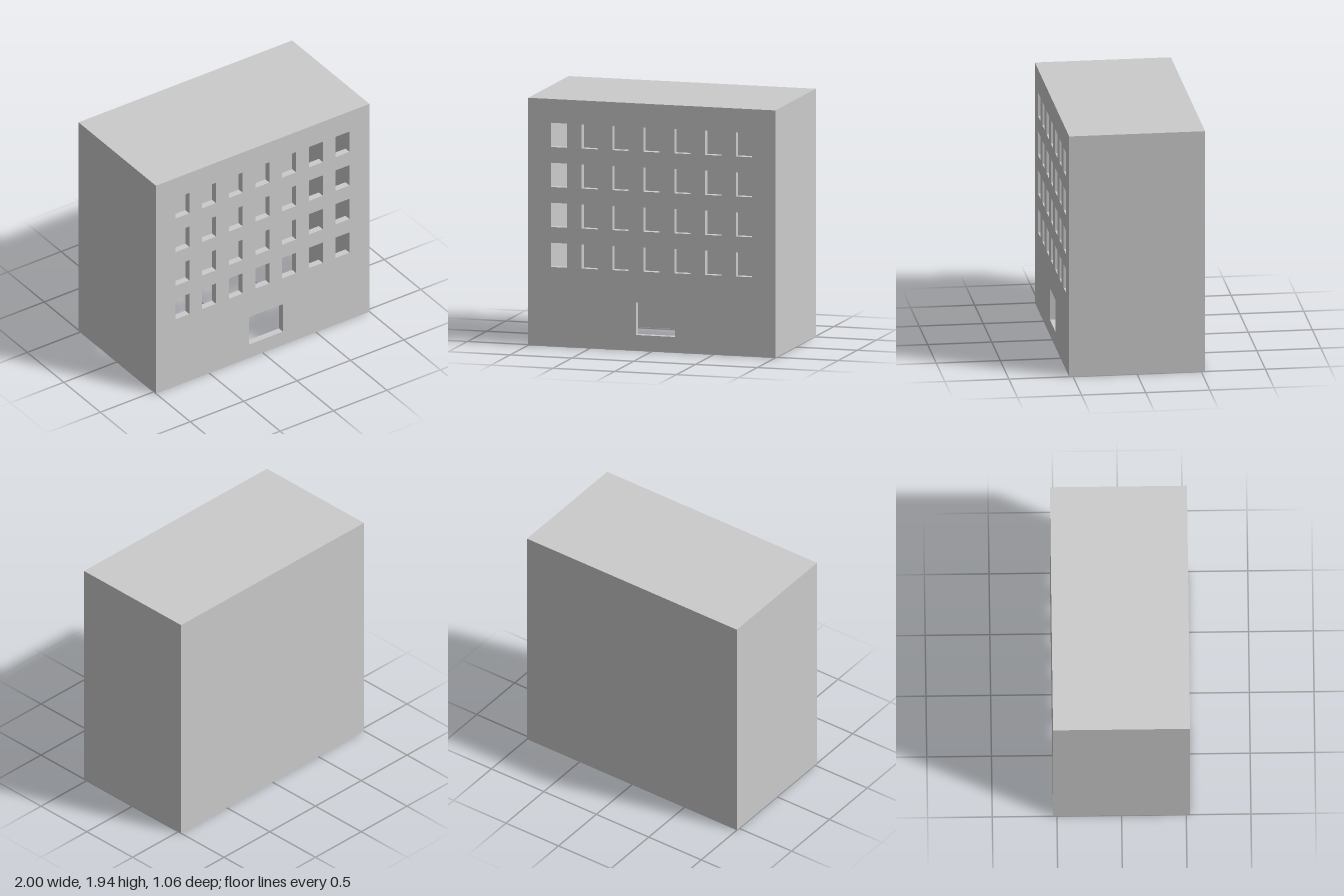
import * as THREE from 'three';
import { mergeGeometries } from 'three/addons/utils/BufferGeometryUtils.js';

const W = 2, H = 1.94, D = 1.06;   // overall block
const REVEAL = 0.055;              // depth of the opening linings

const material = new THREE.MeshStandardMaterial({ color: 0xcccccc, side: THREE.DoubleSide });

function addMesh(parent, name, geometry) {
  const mesh = new THREE.Mesh(geometry, material);
  mesh.name = name;
  parent.add(mesh);
  return mesh;
}

// Rectangular path used as a hole in the facade
function rectPath({ x, y, w, h }) {
  return new THREE.Path([
    new THREE.Vector2(x - w / 2, y - h / 2),
    new THREE.Vector2(x - w / 2, y + h / 2),
    new THREE.Vector2(x + w / 2, y + h / 2),
    new THREE.Vector2(x + w / 2, y - h / 2),
  ]);
}

// Four lining panels running inward from an opening, facing its centre
function liningGeometry({ w, h }) {
  const sill = new THREE.PlaneGeometry(w, REVEAL).rotateX(-Math.PI / 2).translate(0, -h / 2, 0);
  const head = new THREE.PlaneGeometry(w, REVEAL).rotateX(Math.PI / 2).translate(0, h / 2, 0);
  const jambA = new THREE.PlaneGeometry(REVEAL, h).rotateY(Math.PI / 2).translate(-w / 2, 0, 0);
  const jambB = new THREE.PlaneGeometry(REVEAL, h).rotateY(-Math.PI / 2).translate(w / 2, 0, 0);
  return mergeGeometries([sill, head, jambA, jambB]).translate(0, 0, -REVEAL / 2);
}

export function createModel() {
  const building = new THREE.Group();
  building.name = 'building';

  // Openings: four rows of seven windows and one wide entrance
  const windows = [];
  for (let row = 0; row < 4; row++) {
    for (let col = 0; col < 7; col++) {
      windows.push({ x: -0.752 + col * 0.25, y: 0.718 + row * 0.3135, w: 0.13, h: 0.19 });
    }
  }
  const entrance = { x: 0.03, y: 0.252, w: 0.318, h: 0.256 };

  // Facade sheet pierced by the openings
  const facade = new THREE.Shape([
    new THREE.Vector2(-W / 2, 0),
    new THREE.Vector2(W / 2, 0),
    new THREE.Vector2(W / 2, H),
    new THREE.Vector2(-W / 2, H),
  ]);
  facade.holes = [...windows, entrance].map(rectPath);
  addMesh(building, 'frontWall', new THREE.ShapeGeometry(facade)).position.z = D / 2;

  // Plain walls and roof; the underside stays open
  const backWall = addMesh(building, 'backWall', new THREE.PlaneGeometry(W, H));
  backWall.position.set(0, H / 2, -D / 2);
  backWall.rotation.y = Math.PI;
  for (const [name, side] of [['leftWall', 1], ['rightWall', -1]]) {
    const wall = addMesh(building, name, new THREE.PlaneGeometry(D, H));
    wall.position.set(side * W / 2, H / 2, 0);
    wall.rotation.y = side * Math.PI / 2;
  }
  const roof = addMesh(building, 'roof', new THREE.PlaneGeometry(W, D));
  roof.position.y = H;
  roof.rotation.x = -Math.PI / 2;

  // Linings of the openings
  const windowLinings = new THREE.Group();
  windowLinings.name = 'windowLinings';
  building.add(windowLinings);
  const windowGeometry = liningGeometry(windows[0]);
  for (const { x, y } of windows) {
    addMesh(windowLinings, 'windowLining', windowGeometry).position.set(x, y, D / 2);
  }
  addMesh(building, 'entranceLining', liningGeometry(entrance))
    .position.set(entrance.x, entrance.y, D / 2);

  return building;
}
